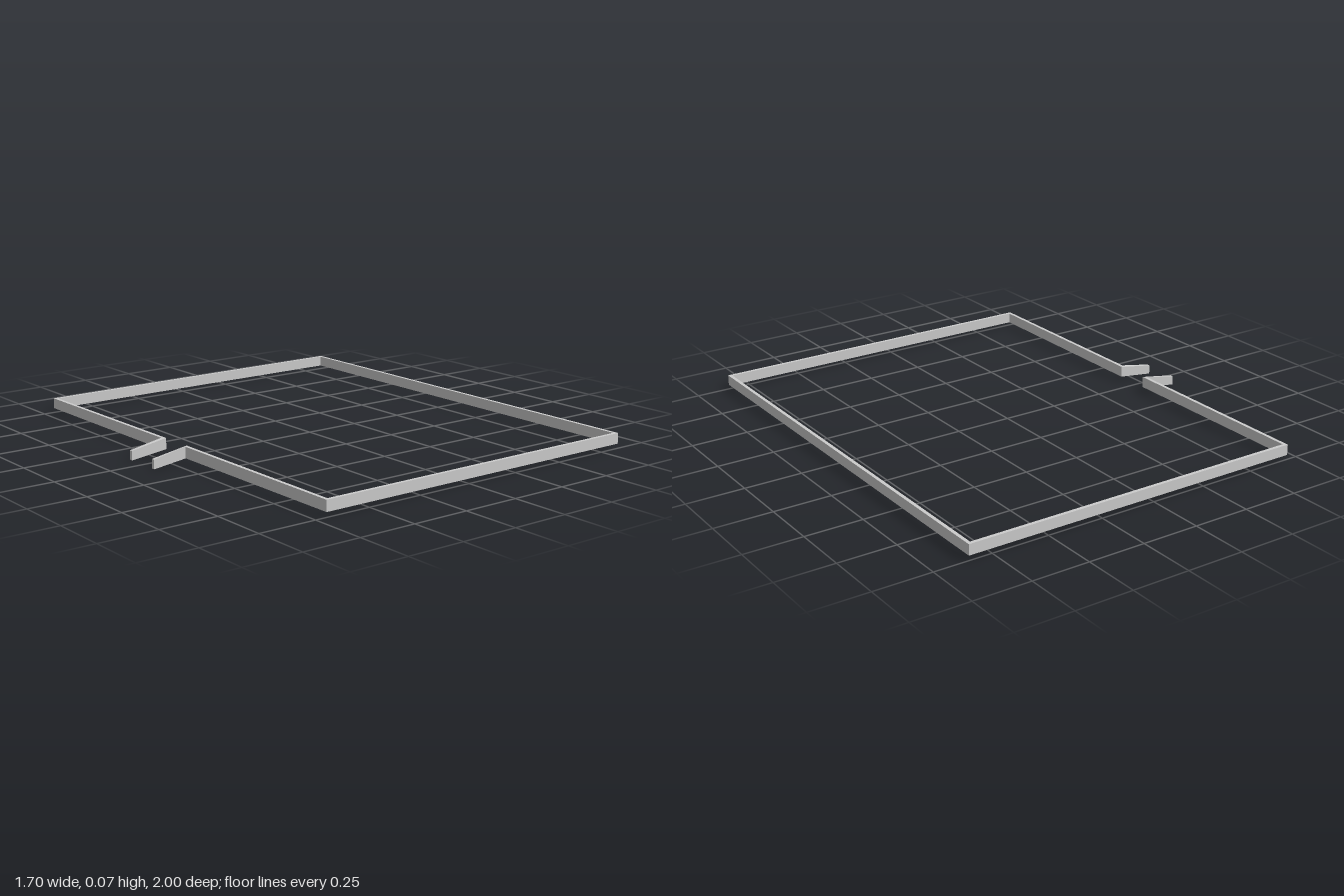
import * as THREE from 'three';

const THICKNESS = 0.015;

// Outer line of the curb: [x, z, bottom, top], from one ramp end round to the other
const PATH = [
  [-0.85, 0.087, 0, 0.04],
  [-0.7, 0.087, 0.02, 0.068],
  [-0.7, 1, 0.02, 0.066],
  [0.85, 1, 0.02, 0.066],
  [0.85, -1, 0.02, 0.066],
  [-0.7, -1, 0.02, 0.066],
  [-0.7, -0.095, 0.02, 0.068],
  [-0.85, -0.095, 0, 0.04],
];

// Unit normal pointing to the inner side of a path segment
function inward(a, b) {
  return new THREE.Vector2(b[1] - a[1], a[0] - b[0]).normalize();
}

// Mitred four-corner cross-section at path point i
function section(i) {
  const p = PATH[i];
  const before = inward(PATH[Math.max(i - 1, 0)], PATH[Math.max(i, 1)]);
  const last = PATH.length - 1;
  const after = inward(PATH[Math.min(i, last - 1)], PATH[Math.min(i + 1, last)]);
  const n = before.clone().add(after);
  n.multiplyScalar(THICKNESS / n.dot(after));
  const [x, z, lo, hi] = p;
  return [
    [x, lo, z], [x, hi, z],
    [x + n.x, hi, z + n.y], [x + n.x, lo, z + n.y],
  ];
}

// Solid bar between two cross-sections, with flat faces
function bar(a, b) {
  const pos = [];
  const quad = (p, q, r, s) => pos.push(...p, ...q, ...r, ...p, ...r, ...s);
  for (let k = 0; k < 4; k++) {
    const m = (k + 1) % 4;
    quad(a[k], b[k], b[m], a[m]);
  }
  quad(a[0], a[1], a[2], a[3]);
  quad(b[3], b[2], b[1], b[0]);
  const geometry = new THREE.BufferGeometry();
  geometry.setAttribute('position', new THREE.Float32BufferAttribute(pos, 3));
  geometry.computeVertexNormals();
  return geometry;
}

export function createModel() {
  const group = new THREE.Group();
  group.name = 'perimeterCurb';
  const material = new THREE.MeshStandardMaterial({
    color: 0xcccccc, flatShading: true, side: THREE.DoubleSide,
  });
  const names = [
    'frontRampRail', 'entranceWallFront', 'frontWall', 'leftWall',
    'backWall', 'entranceWallBack', 'backRampRail',
  ];
  names.forEach((name, i) => {
    const mesh = new THREE.Mesh(bar(section(i), section(i + 1)), material);
    mesh.name = name;
    group.add(mesh);
  });
  return group;
}
